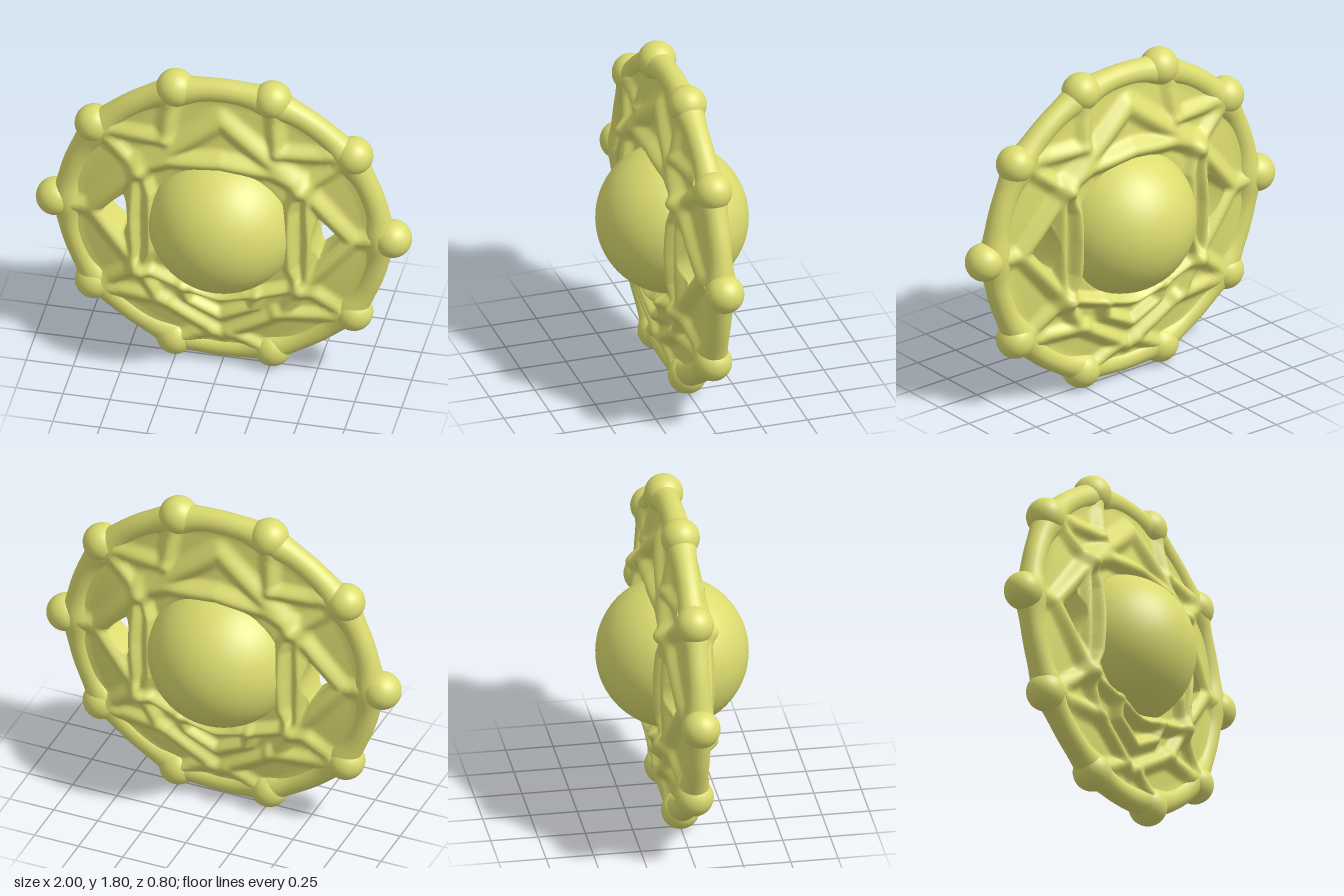
import * as THREE from 'three';
import { mergeVertices } from 'three/addons/utils/BufferGeometryUtils.js';

const { clamp, lerp } = THREE.MathUtils;
const CY = 0.897;      // height of the centre
const EYE = 0.4;       // eyeball radius
const material = new THREE.MeshStandardMaterial({ color: 0xdcdc70 });

// Ridge paths seen from the front, measured from the centre, mirrored in x
const ridge = (w, ...path) => ({ w, path });
const sharedRidges = [ // also mirrored in y
  ridge(0.075, [0.9, 0], [0.7, 0], [0.44, 0.315]),          // diamond strut
  ridge(0.055, [0.37, 0], [0.375, 0.18], [0.42, 0.315]),    // inner column
  ridge(0.05, [0.475, 0], [0.46, 0.3]),                     // outer column
  ridge(0.07, [0.68, 0.51], [0.3, 0.515]),                  // bead to chevron
  ridge(0.065, [0.68, 0.51], [0.44, 0.315]),                // bead to knob
];
const upperRidges = [
  ridge(0.09, [0, 0.67], [0.27, 0.46], [0.43, 0.33]),       // chevron
  ridge(0.08, [0, 0.43], [0.28, 0.4], [0.43, 0.33]),        // eye lip
  ridge(0.07, [0.27, 0.79], [0.3, 0.52]),                   // bead to chevron
];
const lowerRidges = [
  ridge(0.065, [0, -0.71], [0.34, -0.5], [0.44, -0.315]),   // outer chevron
  ridge(0.06, [0, -0.57], [0.17, -0.48], [0.2, -0.38]),     // inner chevron
  ridge(0.06, [0, -0.43], [0.25, -0.37], [0.43, -0.315]),   // eye lip
  ridge(0.06, [0.27, -0.79], [0.05, -0.69]),                // bead to chevron
];

// Distance from a place to a path
function pathDistance(x, y, path) {
  let best = Infinity;
  for (let i = 1; i < path.length; i++) {
    const [ax, ay] = path[i - 1], dx = path[i][0] - ax, dy = path[i][1] - ay;
    const t = clamp(((x - ax) * dx + (y - ay) * dy) / (dx * dx + dy * dy), 0, 1);
    best = Math.min(best, Math.hypot(x - ax - t * dx, y - ay - t * dy));
  }
  return best;
}

// Half thickness of the web: a thin base, ridges whose crest sinks outwards, and four knobs
function webHeight(x, y, r, r0) {
  const ax = Math.abs(x), ay = Math.abs(y);
  const base = 0.045 + 0.05 * clamp((0.75 - r) / 0.35, 0, 1);
  const crest = clamp(0.135 - 0.22 * (r - 0.5), 0.08, 0.165);
  const knob = 0.167 * Math.exp(-((Math.hypot(ax - 0.43, ay - 0.318) / 0.095) ** 2));
  let sum = base ** 8 + knob ** 8;
  const addRidges = (list, py) => {
    for (const { w, path } of list) sum += (crest * Math.exp(-((pathDistance(ax, py, path) / w) ** 2))) ** 8;
  };
  addRidges(sharedRidges, ay);
  addRidges(upperRidges, y);
  addRidges(lowerRidges, y);
  // tuck the inner edge under the eyeball
  const limit = Math.sqrt(EYE * EYE - r0 * r0) + (r - r0) * 1.1;
  return Math.min(sum ** 0.125, limit, 0.172);
}

// Ridged web between eye and ring, front and back, with a window on each side
function webGeometry() {
  const SEG = 240, IN = 20, OUT = 24, ROWS = IN + OUT + 2, HALF = 9;
  const step = (Math.PI * 2) / SEG;
  const pos = [], index = [];
  for (const side of [1, -1]) {
    for (let j = 0; j < SEG; j++) {
      const a = j * step, s = Math.sin(a);
      const r0 = 0.355 + (s > 0 ? 0.012 : 0.03) * s * s;
      const fold = Math.min(j % (SEG / 2), SEG / 2 - (j % (SEG / 2)));
      const k = Math.min(1, fold / HALF);
      const holeIn = 0.49 + 0.045 * k * k, holeOut = 0.635 - 0.1 * k;
      for (let i = 0; i < ROWS; i++) {
        const r = i <= IN ? lerp(r0 - 0.02, holeIn, i / IN) : lerp(holeOut, 0.8, (i - IN - 1) / OUT);
        const x = r * Math.cos(a), y = r * s;
        pos.push(x, y, side * webHeight(x, y, r, r0));
      }
    }
  }
  const id = (side, i, j) => (side * SEG + (j % SEG)) * ROWS + i;
  const quad = (a, b, c, d) => index.push(a, b, c, a, c, d);
  for (let j = 0; j < SEG; j++) {
    for (let i = 0; i < ROWS - 1; i++) {
      if (i === IN) continue;
      quad(id(0, i, j), id(0, i + 1, j), id(0, i + 1, j + 1), id(0, i, j + 1));
      quad(id(1, i, j), id(1, i, j + 1), id(1, i + 1, j + 1), id(1, i + 1, j));
    }
    // window walls
    if ((j + HALF) % (SEG / 2) < 2 * HALF) {
      const o = IN + 1;
      quad(id(0, IN, j), id(1, IN, j), id(1, IN, j + 1), id(0, IN, j + 1));
      quad(id(0, o, j), id(0, o, j + 1), id(1, o, j + 1), id(1, o, j));
    }
  }
  const g = new THREE.BufferGeometry();
  g.setAttribute('position', new THREE.Float32BufferAttribute(pos, 3));
  g.setIndex(index);
  return weld(g);
}

// Merge coincident vertices so the shading is smooth across seams
function weld(g) {
  const welded = mergeVertices(g, 1e-5);
  welded.computeVertexNormals();
  return welded;
}

// Outer ring whose tube swells slightly towards each of the ten beads
function ringGeometry() {
  const R = 0.82, TUBE = 0.064, gap = Math.PI / 5;
  const g = new THREE.TorusGeometry(R, TUBE, 20, 200);
  const p = g.attributes.position;
  for (let i = 0; i < p.count; i++) {
    const x = p.getX(i), y = p.getY(i), a = Math.atan2(y, x);
    const d = a - Math.round(a / gap) * gap;
    const swell = 1 + 0.3 * Math.exp(-((d / 0.12) ** 2));
    const r = R + (Math.hypot(x, y) - R) * swell;
    p.setXYZ(i, r * Math.cos(a) * 1.01, r * Math.sin(a) * 0.993, p.getZ(i) * swell);
  }
  g.deleteAttribute('uv');
  g.deleteAttribute('normal');
  return weld(g);
}

export function createModel() {
  const model = new THREE.Group();
  const add = (name, geometry, x = 0, y = 0) => {
    const mesh = new THREE.Mesh(geometry, material);
    mesh.name = name;
    mesh.position.set(x, CY + y, 0);
    model.add(mesh);
  };

  add('eyeball', new THREE.SphereGeometry(EYE, 64, 40));
  add('outerRing', ringGeometry());
  add('web', webGeometry());

  // beads around the ring, the two side ones set further out
  const bead = new THREE.SphereGeometry(0.102, 32, 20);
  for (let i = 0; i < 10; i++) {
    const a = (i * Math.PI) / 5;
    const r = i % 5 === 0 ? 0.898 : i % 5 === 1 || i % 5 === 4 ? 0.855 : 0.837;
    add('ringBead', bead, r * Math.cos(a), r * Math.sin(a));
  }

  return model;
}
